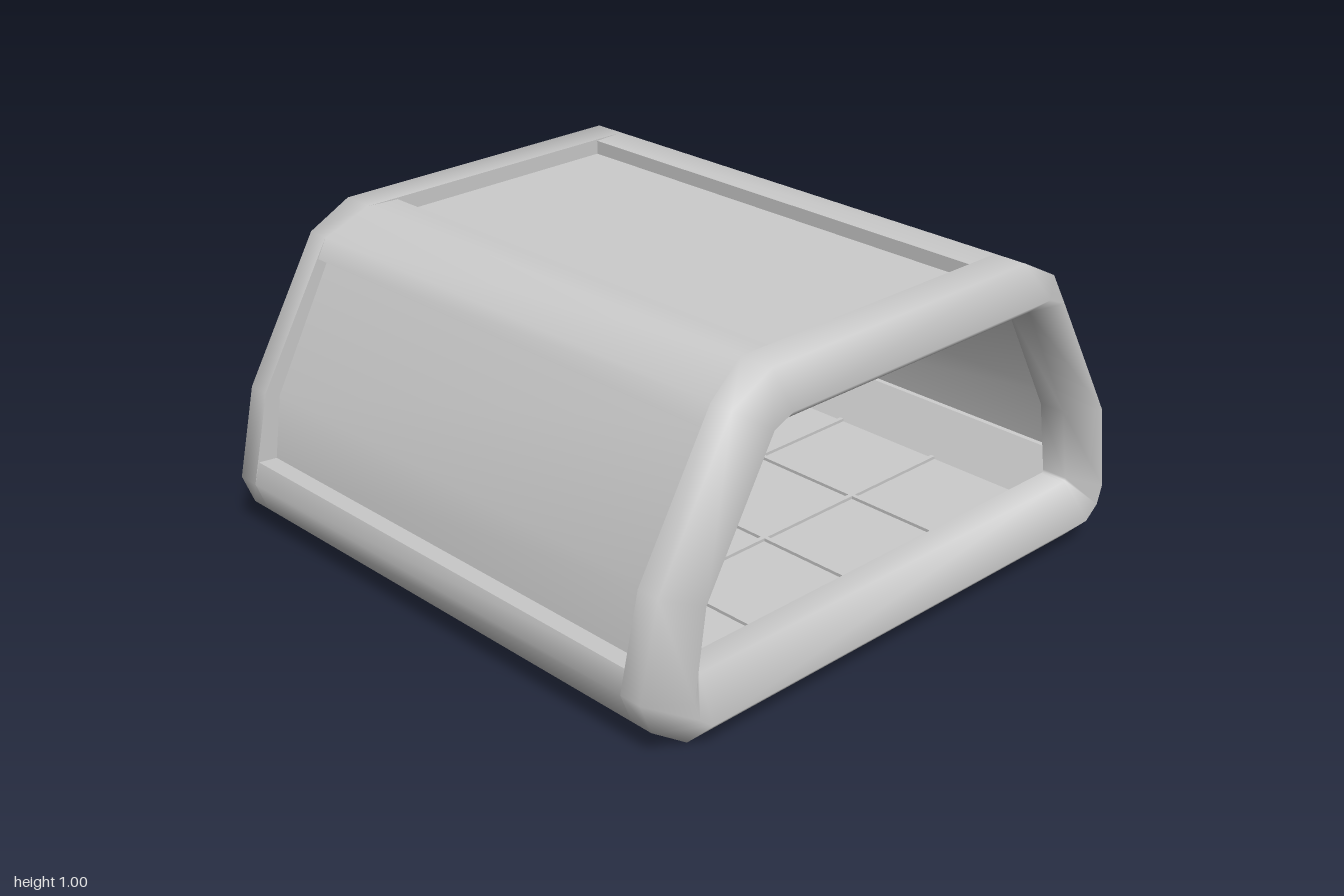
import * as THREE from 'three';
import { toCreasedNormals } from 'three/addons/utils/BufferGeometryUtils.js';

const material = new THREE.MeshStandardMaterial({ color: 0xcccccc, side: THREE.DoubleSide });
const EDGE = 0.835; // x where side hoops meet the windows
const ROOF_EDGE = 0.8; // x where side hoops meet the roof panel

// Half profiles as [z, y], from the roof down to the bottom
const outer = [[0.53, 1], [0.675, 0.925], [0.935, 0.48], [1, 0.19], [0.96, 0.09], [0.83, 0]];
const middle = [[0.54, 0.91], [0.61, 0.88], [0.85, 0.465], [0.89, 0.19], [0.87, 0.13], [0.82, 0.09]];
const inner = [[0.545, 0.845], [0.555, 0.84], [0.765, 0.455], [0.805, 0.215], [0.803, 0.207], [0.795, 0.205]];

const flip = (points) => points.map(([z, y]) => [-z, y]);
const closed = (half) => [...half, ...flip(half).reverse()];

function add(group, name, geometry) {
  const mesh = new THREE.Mesh(geometry, material);
  mesh.name = name;
  group.add(mesh);
  return mesh;
}

// Outward normals [z, y] along the closed outer profile
function profileNormals() {
  const points = closed(outer).map(([z, y]) => new THREE.Vector2(z, y));
  const n = points.length;
  return points.map((p, i) => {
    const before = p.clone().sub(points[(i + n - 1) % n]).normalize();
    const after = points[(i + 1) % n].clone().sub(p).normalize();
    const tangent = before.add(after).normalize();
    return [-tangent.y, tangent.x];
  });
}

// Rounded hoop around one open side; each section is [x, profile, normal x, normal outward]
function hoopGeometry(side) {
  const sections = [
    [EDGE, outer, 0, 1], [0.91, outer, 0.38, 0.92], [1, middle, 1, 0],
    [0.92, inner, 0.38, -0.92], [EDGE, inner, 0, -1],
    [EDGE, inner, -1, 0], [EDGE, outer, -1, 0], // flat wall facing the windows
  ];
  const around = profileNormals();
  const n = around.length;
  const positions = [];
  const normals = [];
  const index = [];
  sections.forEach(([x, half, nx, out], j) => {
    closed(half).forEach(([z, y], i) => {
      const roofPoint = x === EDGE && (i === 0 || i === n - 1);
      positions.push(side * (roofPoint ? ROOF_EDGE : x), y, z);
      normals.push(side * nx, out * around[i][1], out * around[i][0]);
      if (j === 4 || j === sections.length - 1) return;
      const k = (i + 1) % n;
      const a = j * n + i, b = j * n + k, c = b + n, d = a + n;
      if (side > 0) index.push(a, b, c, a, c, d);
      else index.push(a, c, b, a, d, c);
    });
  });
  const geometry = new THREE.BufferGeometry();
  geometry.setAttribute('position', new THREE.Float32BufferAttribute(positions, 3));
  geometry.setAttribute('normal', new THREE.Float32BufferAttribute(normals, 3));
  geometry.setIndex(index);
  return geometry;
}

// Section in the z-y plane, extruded across the width
function acrossGeometry(points, width) {
  const shape = new THREE.Shape(points.map(([z, y]) => new THREE.Vector2(z, y)));
  const geometry = new THREE.ExtrudeGeometry(shape, { depth: width, bevelEnabled: false });
  geometry.translate(0, 0, -width / 2).rotateY(-Math.PI / 2);
  return toCreasedNormals(geometry, 0.8);
}

export function createModel() {
  const model = new THREE.Group();
  model.name = 'cabinShell';

  add(model, 'leftHoop', hoopGeometry(1));
  add(model, 'rightHoop', hoopGeometry(-1));

  // Floor pan with front and back sills
  const pan = [[0.8, 0.1], [0.88, 0.25], [0.98, 0.26], [1, 0.19], [0.96, 0.09], [0.83, 0]];
  add(model, 'floorPan', acrossGeometry(closed(pan), EDGE * 2));

  // Roof rails, folded windows and the small rods under the roof
  const rail = [[0.42, 0.995], [0.53, 1], [0.675, 0.925], [0.707, 0.862], [0.65, 0.838], [0.55, 0.845], [0.42, 0.85]];
  const pane = [
    [0.665, 0.865], [0.885, 0.46], [0.92, 0.22],
    [0.9, 0.22], [0.865, 0.455], [0.645, 0.855],
  ];
  for (const [name, z] of [['front', 1], ['back', -1]]) {
    const place = (points) => (z > 0 ? points : flip(points));
    add(model, name + 'RoofRail', acrossGeometry(place(rail), EDGE * 2));
    add(model, name + 'Window', acrossGeometry(place(pane), 1.7));
    const rod = add(model, name + 'Rod', new THREE.CylinderGeometry(0.013, 0.013, 1.38, 10));
    rod.rotation.z = Math.PI / 2;
    rod.position.set(0, 0.846, z * 0.52);
  }

  // Recessed roof panel
  const roof = add(model, 'roofPanel', new THREE.BoxGeometry(1.64, 0.02, 0.88));
  roof.position.y = 0.94;

  // Low ribs on the floor
  for (let i = -1; i <= 1; i++) {
    const long = add(model, 'floorRib', new THREE.BoxGeometry(0.015, 0.012, 1.6));
    long.position.set(i * 0.4, 0.104, 0);
    const cross = add(model, 'floorRib', new THREE.BoxGeometry(1.6, 0.012, 0.015));
    cross.position.set(0, 0.104, i * 0.4);
  }
  return model;
}
